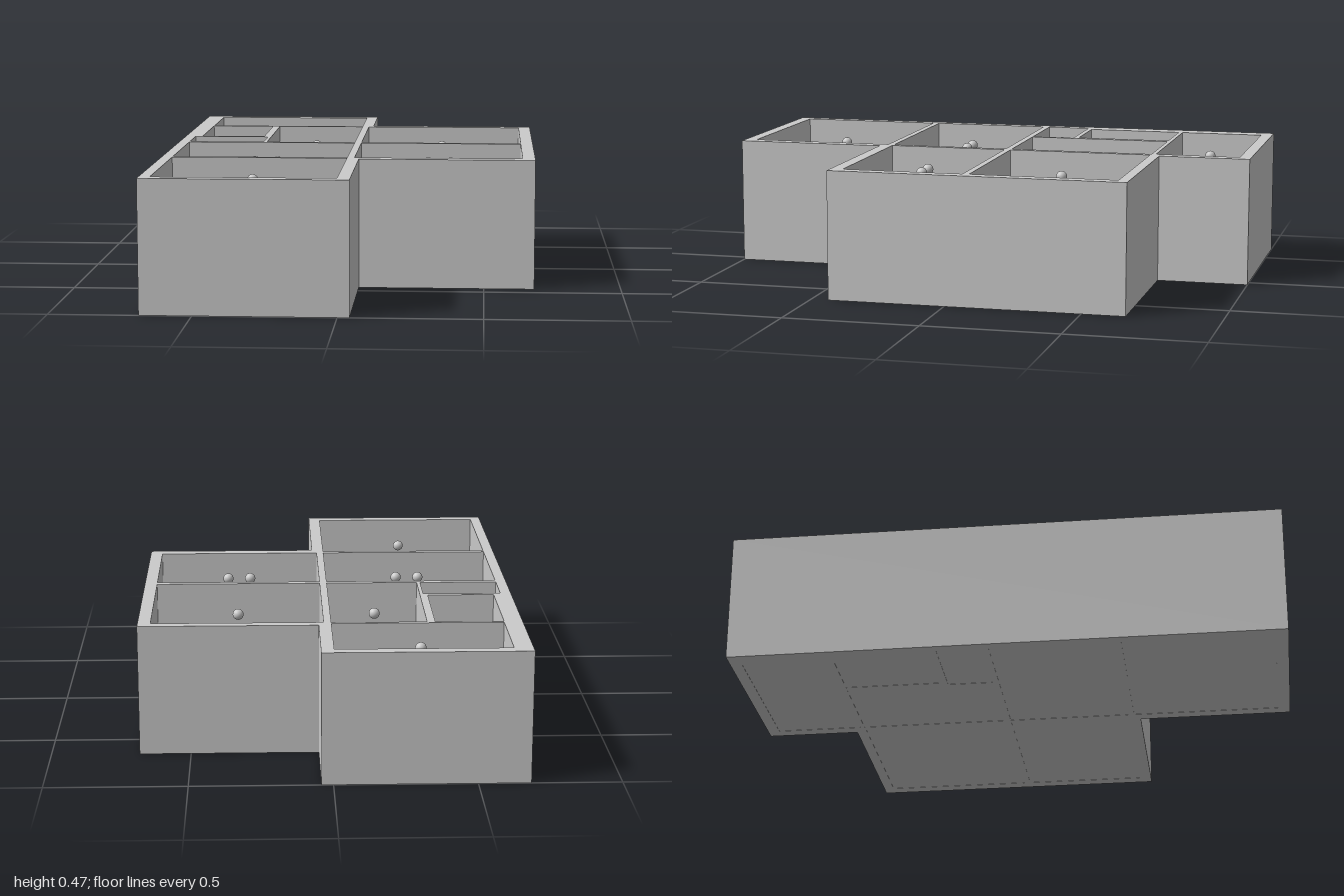
import * as THREE from 'three';

const HEIGHT = 0.475;

// Rooms as [x0, x1, z0, z1]
const ROOMS = {
  backRoom: [-0.617, -0.003, -0.957, -0.64],
  smallRoom: [-0.618, -0.373, -0.624, -0.265],
  hall: [-0.344, -0.003, -0.624, -0.082],
  closet: [-0.645, -0.357, -0.246, -0.082],
  middleRoom: [-0.645, -0.003, -0.058, 0.389],
  frontRoom: [-0.645, -0.003, 0.413, 0.955],
  sideBackRoom: [0.024, 0.638, -0.622, -0.082],
  sideFrontRoom: [0.024, 0.638, -0.058, 0.389],
};

// Ceiling lamps as [x, z]
const LAMPS = [
  [-0.31, -0.8], [-0.17, -0.35], [0.33, -0.35], [-0.54, -0.16], [-0.455, -0.16],
  [-0.365, 0.17], [-0.28, 0.17], [0.288, 0.17], [0.373, 0.17], [-0.32, 0.685],
];

const toPoints = (list) => list.map(([x, z]) => new THREE.Vector2(x, z));

export function createModel() {
  const group = new THREE.Group();
  const grey = new THREE.MeshStandardMaterial({ color: 0xcccccc });
  const floorGrey = new THREE.MeshStandardMaterial({ color: 0xcccccc, side: THREE.DoubleSide });

  const add = (name, geometry, material = grey) => {
    const mesh = new THREE.Mesh(geometry, material);
    mesh.name = name;
    group.add(mesh);
    return mesh;
  };

  // Walls: the outline of the house with every room cut out
  const plan = new THREE.Shape(toPoints([
    [-0.684, -1], [0.042, -1], [0.042, -0.66], [0.684, -0.66],
    [0.684, 0.435], [0.042, 0.435], [0.042, 1], [-0.684, 1],
  ]));
  for (const [x0, x1, z0, z1] of Object.values(ROOMS)) {
    plan.holes.push(new THREE.Path(toPoints([[x0, z0], [x0, z1], [x1, z1], [x1, z0]])));
  }
  const walls = new THREE.ExtrudeGeometry(plan, { depth: HEIGHT, bevelEnabled: false });
  walls.rotateX(Math.PI / 2).translate(0, HEIGHT, 0);
  add('walls', walls);

  // Floors: one thin sheet per room
  for (const [name, [x0, x1, z0, z1]] of Object.entries(ROOMS)) {
    const floor = new THREE.PlaneGeometry(x1 - x0, z1 - z0).rotateX(-Math.PI / 2);
    add(name + 'Floor', floor, floorGrey).position.set((x0 + x1) / 2, 0.001, (z0 + z1) / 2);
  }

  // Lamps: small balls hanging just below the wall tops
  const ball = new THREE.SphereGeometry(0.02, 24, 16);
  LAMPS.forEach(([x, z], i) => add('lamp' + (i + 1), ball).position.set(x, 0.43, z));

  return group;
}
